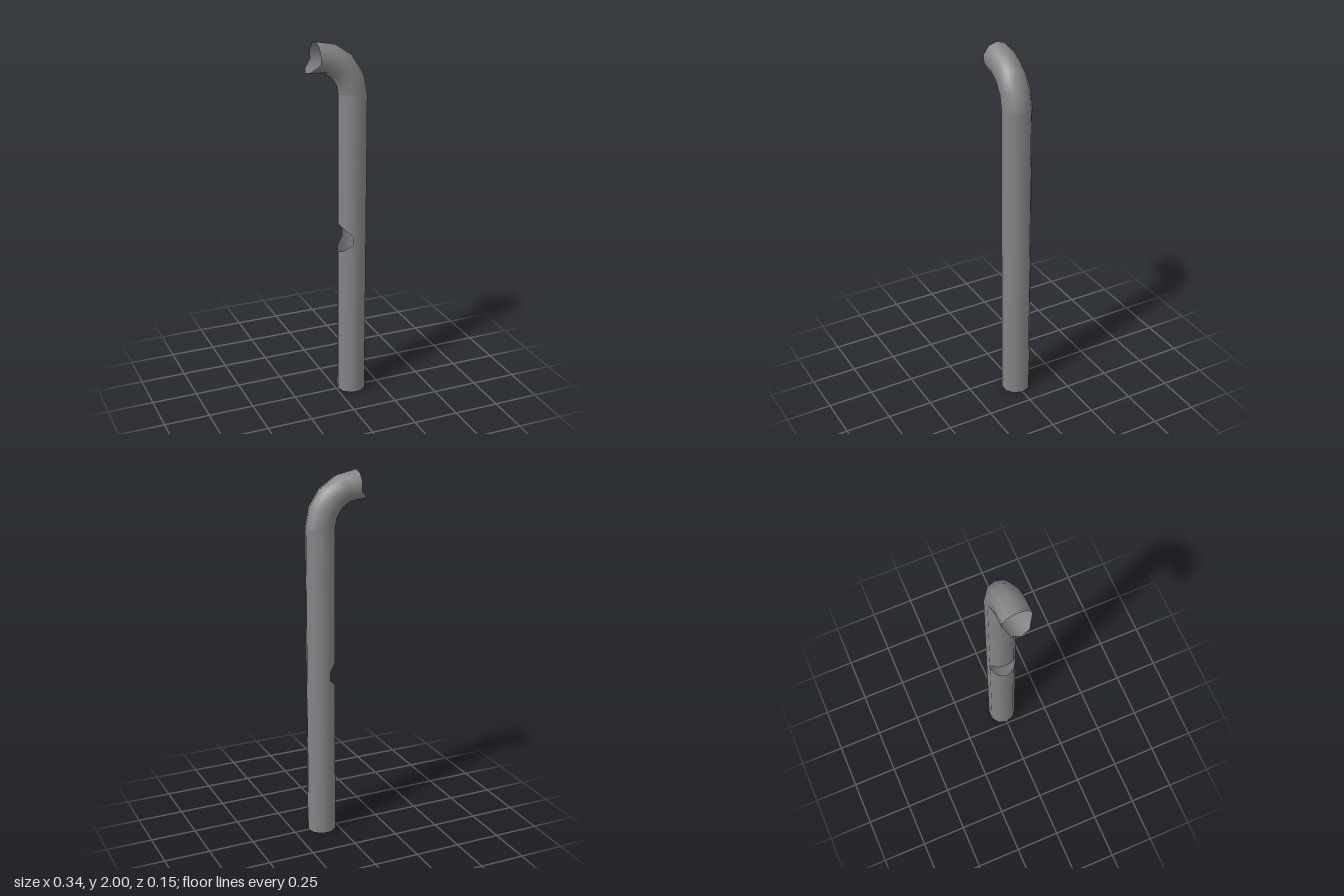
import * as THREE from 'three';

const SIDES = 10;          // sides of the pipe
const R = 0.079;           // pipe radius
const POST_X = 0.089;      // axis of the upright
const BEND_Y = 1.72;       // where the bend starts
const BEND_R = 0.204;      // radius of the bend's centre line
const NOTCH_Y = 0.924;     // centre height of the saddle cut
const FLAT = R * Math.cos(Math.PI * 0.4); // half height of the cut's flat part

const angle = (j) => (j / SIDES) * Math.PI * 2;

// Open pipe skin through rows of points; skip(row, side) leaves a hole
function pipe(name, rows, point, skip = () => false) {
  const positions = [];
  const index = [];
  for (let i = 0; i < rows; i++) {
    for (let j = 0; j < SIDES; j++) positions.push(...point(i, angle(j)));
  }
  for (let i = 0; i < rows - 1; i++) {
    for (let j = 0; j < SIDES; j++) {
      if (skip(i, j)) continue;
      const k = (j + 1) % SIDES;
      const a = i * SIDES + j, b = i * SIDES + k;
      const c = a + SIDES, d = b + SIDES;
      index.push(a, c, b, b, c, d);
    }
  }
  const geometry = new THREE.BufferGeometry();
  geometry.setAttribute('position', new THREE.Float32BufferAttribute(positions, 3));
  geometry.setIndex(index);
  geometry.computeVertexNormals();
  const material = new THREE.MeshStandardMaterial({ color: 0x848484, side: THREE.DoubleSide });
  const mesh = new THREE.Mesh(geometry, material);
  mesh.name = name;
  return mesh;
}

export function createModel() {
  const group = new THREE.Group();
  group.name = 'bentPipe';

  // Upright with a 45-degree saddle notch on its -x side
  const post = pipe('post', 4, (row, a) => {
    const x = R * Math.cos(a);
    const half = Math.max(FLAT, -x);
    const y = [0, NOTCH_Y - half, NOTCH_Y + half, BEND_Y][row];
    return [POST_X + x, y, R * Math.sin(a)];
  }, (row, j) => row === 1 && Math.cos(angle(j + 0.5)) < -0.5);
  // Radial normals keep the shading even around the notch
  const normals = post.geometry.attributes.normal;
  for (let i = 0; i < normals.count; i++) {
    const a = angle(i % SIDES);
    normals.setXYZ(i, Math.cos(a), 0, Math.sin(a));
  }
  group.add(post);

  // Quarter bend towards -x, its lower lip cut to match the notch
  const steps = 4;
  const elbow = pipe('elbow', steps + 1, (row, a) => {
    const t = (row / steps) * Math.PI / 2;
    const off = R * Math.cos(a);
    const lip = row === steps ? Math.max(0, -off - FLAT) : 0;
    return [
      POST_X - BEND_R + (BEND_R + off) * Math.cos(t) - lip,
      BEND_Y + (BEND_R + off) * Math.sin(t),
      R * Math.sin(a),
    ];
  });
  group.add(elbow);

  return group;
}
